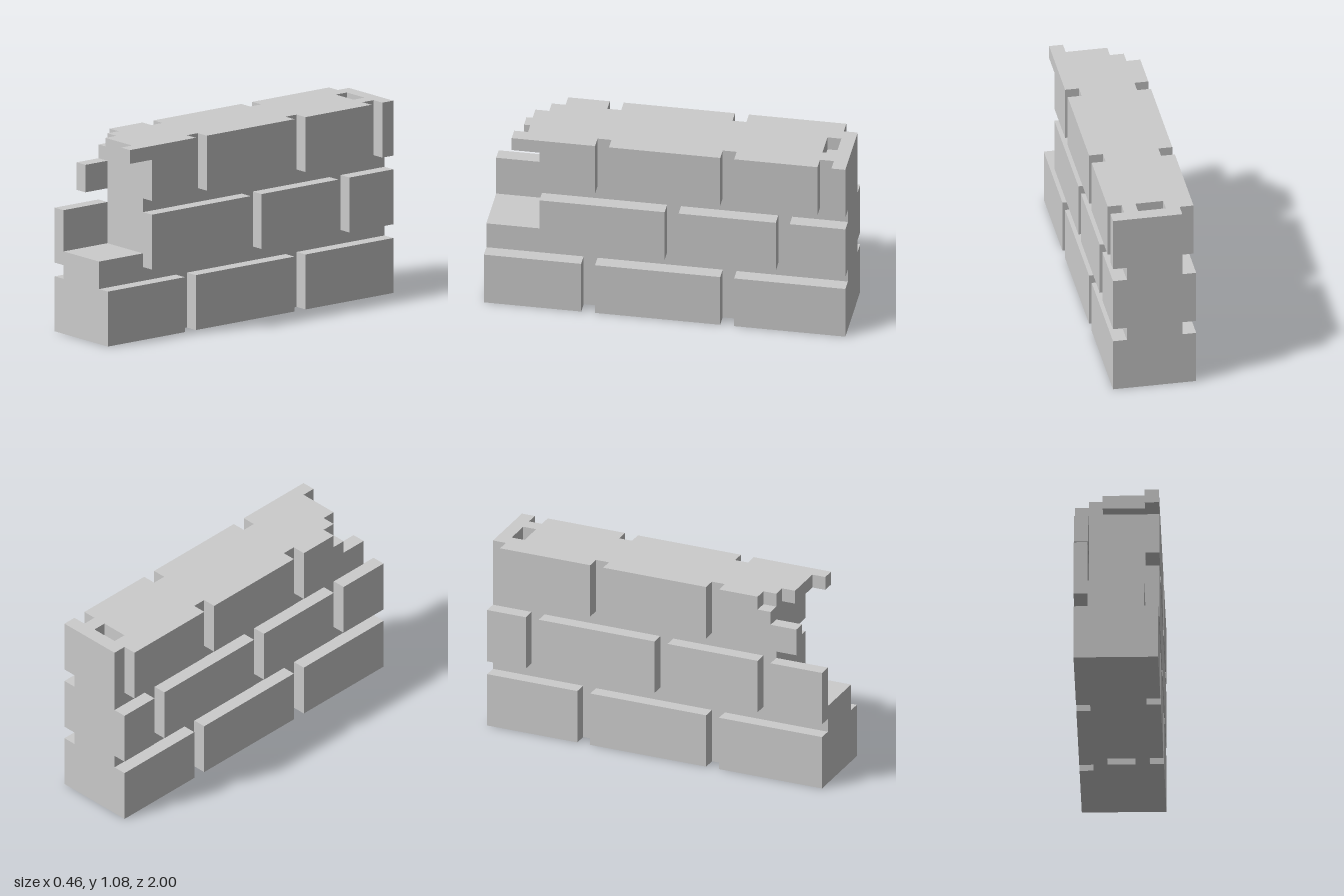
import * as THREE from 'three';

// Everything sits on a block grid: 26 units long, 6 wide, 14 high.
const U = 1 / 13;

export function createModel() {
  const wall = new THREE.Group();
  wall.name = 'brickWall';
  const material = new THREE.MeshStandardMaterial({ color: 0xcccccc, flatShading: true });

  const add = (name, geometry) => {
    const mesh = new THREE.Mesh(geometry, material);
    mesh.name = name;
    wall.add(mesh);
  };

  const box = (name, x0, x1, y0, y1, z0, z1) => {
    const g = new THREE.BoxGeometry((x1 - x0) * U, (y1 - y0) * U, (z1 - z0) * U);
    g.translate((x0 + x1) / 2 * U, (y0 + y1) / 2 * U, (z0 + z1) / 2 * U);
    add(name, g);
  };

  // Horizontal slab from an [x, z] outline with one rectangular slot, x -1..1
  const slab = (name, outline, slotZ0, slotZ1, y0, y1) => {
    const points = (list) => list.map(([x, z]) => new THREE.Vector2(x * U, -z * U));
    const shape = new THREE.Shape(points(outline));
    shape.holes.push(new THREE.Path(points([[-1, slotZ0], [1, slotZ0], [1, slotZ1], [-1, slotZ1]])));
    const g = new THREE.ExtrudeGeometry(shape, { depth: (y1 - y0) * U, bevelEnabled: false });
    g.rotateX(-Math.PI / 2);
    g.translate(0, y0 * U, 0);
    add(name, g);
  };

  // Mortar core: slotted base, stepped middle, slotted top with a ragged front edge
  slab('coreBase', [[-2, 13], [2, 13], [2, -13], [-2, -13]], -5, -4, 0, 1);
  const side = new THREE.Shape(
    [[-13, 1], [13, 1], [13, 6], [9, 6], [9, 13], [-13, 13]].map(([z, y]) => new THREE.Vector2(-z * U, y * U)));
  const core = new THREE.ExtrudeGeometry(side, { depth: 4 * U, bevelEnabled: false });
  core.rotateY(Math.PI / 2);
  core.translate(-2 * U, 0, 0);
  add('core', core);
  slab('coreTop', [[-2, 9], [-1, 9], [-1, 10], [2, 10], [2, -13], [-2, -13]], -12, -11, 13, 14);

  // Brick courses on each side: [z from, z to] per row, bottom to top
  const rowBase = [0, 5, 10];
  const courses = {
    left: [
      [[-13, -5], [-4, 5], [6, 13]],
      [[-13, -9], [-8, -1], [0, 9]],
      [[-13, -12], [-11, -5], [-4, 4], [5, 9]],
    ],
    right: [
      [[-13, -6], [-5, 4], [5, 13]],
      [[-13, -10], [-9, 0], [1, 8], [9, 13]],
      [[-12, -5], [-4, 4], [5, 8]],
    ],
  };
  for (const [name, rows] of Object.entries(courses)) {
    const x0 = name === 'left' ? 2 : -3;
    rows.forEach((row, r) => row.forEach(([z0, z1]) =>
      box(name + 'Brick', x0, x0 + 1, rowBase[r], rowBase[r] + 4, z0, z1)));
  }

  // Broken front ends of the top course
  box('leftBrokenTip', 2, 3, 13, 14, 9, 11);
  box('rightBrokenStep', -3, -2, 10, 13, 8, 9);
  box('rightBrokenTip', -3, -2, 10, 12, 9, 11);

  return wall;
}
